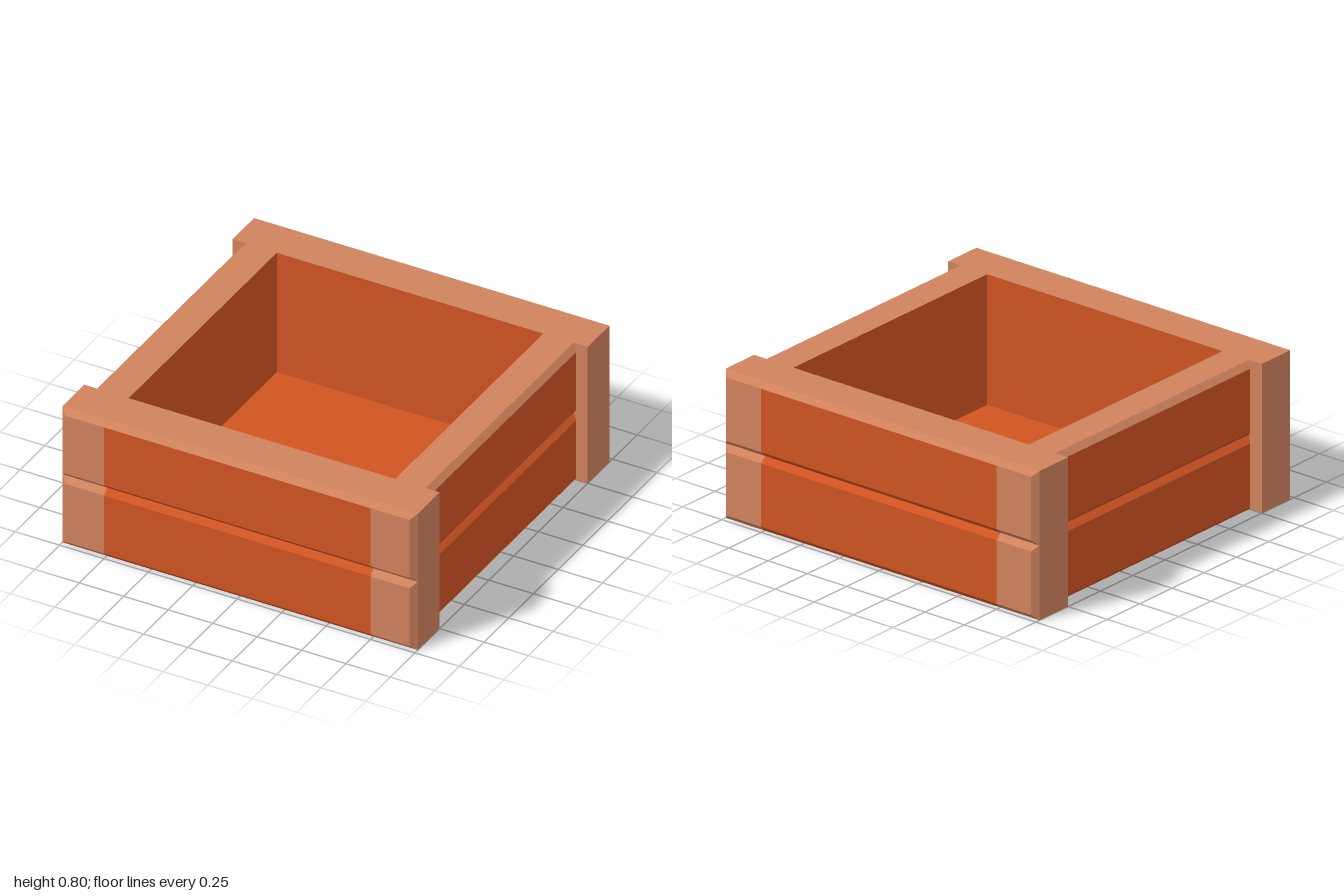
import * as THREE from 'three';

const H = 0.8, INNER = 0.75, BEVEL = 0.03;

export function createModel() {
  const model = new THREE.Group();
  model.name = 'planterBox';

  const panel = new THREE.MeshStandardMaterial({ color: 0xcf5422 });
  panel.name = 'orange panel';
  const trim = new THREE.MeshStandardMaterial({ color: 0xcf825c });
  trim.name = 'pale trim';
  // Box face order: +x, -x, top, bottom, +z, -z
  const topTrimmed = [panel, panel, trim, panel, panel, panel];

  function box(parent, name, material, x0, x1, y0, y1, z0, z1) {
    const mesh = new THREE.Mesh(new THREE.BoxGeometry(x1 - x0, y1 - y0, z1 - z0), material);
    mesh.position.set((x0 + x1) / 2, (y0 + y1) / 2, (z0 + z1) / 2);
    mesh.name = name;
    parent.add(mesh);
    return mesh;
  }

  // Raised board face: the outer (+z) edges are drawn in to form bevels
  function bevelled(parent, name, material, x0, x1, y0, y1, z0, leftEnd, rightEnd) {
    const mesh = box(parent, name, material, x0, x1, y0, y1, z0, z0 + BEVEL);
    const p = mesh.geometry.attributes.position;
    for (let i = 0; i < p.count; i++) {
      if (p.getZ(i) < 0) continue;
      const x = p.getX(i), y = p.getY(i);
      p.setY(i, y - Math.sign(y) * BEVEL);
      if (x < 0 && leftEnd) p.setX(i, x + BEVEL);
      if (x > 0 && rightEnd) p.setX(i, x - BEVEL);
    }
    mesh.geometry.computeVertexNormals();
  }

  // Front and back walls, with corner posts
  ['front', 'back'].forEach((side, k) => {
    const wall = new THREE.Group();
    wall.name = side + 'Wall';
    wall.rotation.y = k * Math.PI;
    const z = 1 - BEVEL;
    box(wall, 'wallCore', topTrimmed, -INNER, INNER, 0, H, INNER, z);
    box(wall, 'cornerPost', trim, -1, -INNER, 0, H, INNER, z);
    box(wall, 'cornerPost', trim, INNER, 1, 0, H, INNER, z);
    for (let row = 0; row < 2; row++) {
      const y0 = row * H / 2, y1 = y0 + H / 2;
      bevelled(wall, 'board', row ? topTrimmed : panel, -INNER, INNER, y0, y1, z, false, false);
      bevelled(wall, 'postFace', trim, -1, -INNER, y0, y1, z, true, false);
      bevelled(wall, 'postFace', trim, INNER, 1, y0, y1, z, false, true);
    }
    model.add(wall);
  });

  // Side walls, set back between the posts
  ['left', 'right'].forEach((side, k) => {
    const wall = new THREE.Group();
    wall.name = side + 'Wall';
    wall.rotation.y = Math.PI / 2 + k * Math.PI;
    const z = 0.95 - BEVEL;
    box(wall, 'wallCore', topTrimmed, -INNER, INNER, 0, H, INNER, z);
    for (let row = 0; row < 2; row++) {
      bevelled(wall, 'board', row ? topTrimmed : panel,
        -INNER, INNER, row * H / 2, (row + 1) * H / 2, z, true, true);
    }
    model.add(wall);
  });

  // Floor
  box(model, 'floor', panel, -INNER, INNER, 0, 0.1, -INNER, INNER);

  return model;
}
